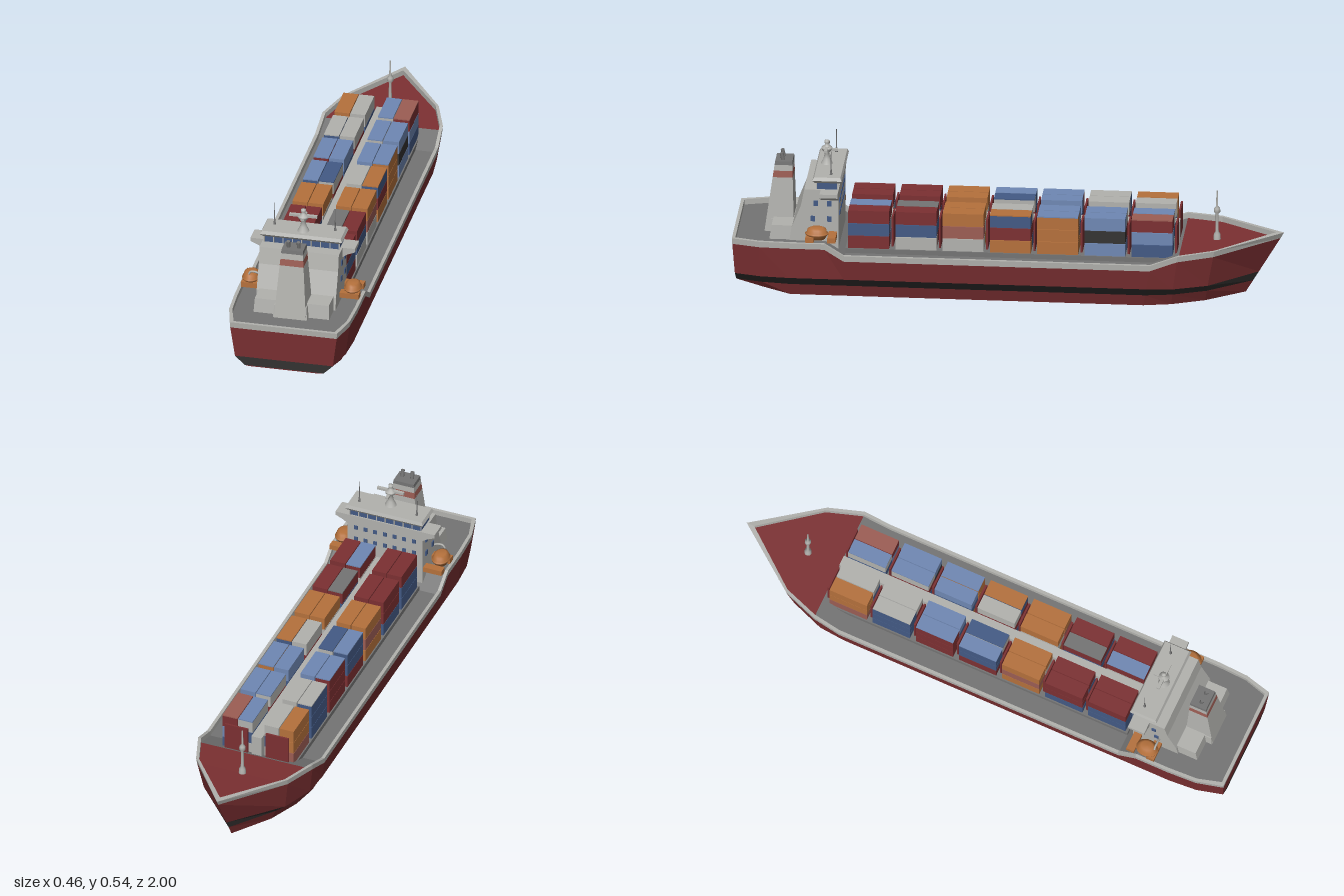
import * as THREE from 'three';

const mat = (name, color) => {
  const m = new THREE.MeshStandardMaterial({ color });
  m.name = name;
  return m;
};

export function createModel() {
  const ship = new THREE.Group();
  ship.name = 'containerShip';
  const M = {
    r: mat('hullRed', 0x7c3032), k: mat('stripeBlack', 0x353332), g: mat('paintGrey', 0xb2b2ae),
    d: mat('deckGrey', 0x747474), o: mat('orange', 0xb5713c), b: mat('blue', 0x435a85),
    l: mat('lightBlue', 0x6f88b4), s: mat('salmon', 0x9c5d54),
  };
  const add = (name, geo, m, x = 0, y = 0, z = 0, parent = ship) => {
    const mesh = new THREE.Mesh(geo, M[m]);
    mesh.name = name;
    mesh.position.set(x, y, z);
    parent.add(mesh);
    return mesh;
  };
  // Box given by its limits
  const box = (name, m, x0, x1, y0, y1, z0, z1, parent) =>
    add(name, new THREE.BoxGeometry(x1 - x0, y1 - y0, z1 - z0), m,
      (x0 + x1) / 2, (y0 + y1) / 2, (z0 + z1) / 2, parent);
  // Solid between two rectangles [halfWidth, z0, z1] at heights y0 and y1
  const frustum = (name, m, y0, a, y1, b) => {
    const geo = new THREE.BoxGeometry(2, 1, 1);
    const p = geo.attributes.position;
    for (let i = 0; i < p.count; i++) {
      const s = p.getY(i) > 0 ? b : a;
      p.setXYZ(i, p.getX(i) * s[0], p.getY(i) > 0 ? y1 : y0, p.getZ(i) > 0 ? s[2] : s[1]);
    }
    geo.computeVertexNormals();
    return add(name, geo, m);
  };
  const polygon = (pts) => new THREE.Shape(pts.map((p) => new THREE.Vector2(...p)));

  // Hull stations from bow to stern: zTop, zBottom, halfTop, halfBottom, yTop, yBottom
  const stations = [
    [-1, -0.86, 0, 0, 0.235, 0], [-0.76, -0.72, 0.18, 0.1, 0.222, 0],
    [-0.63, -0.6, 0.225, 0.15, 0.215, 0], [-0.53, -0.5, 0.23, 0.17, 0.178, 0],
    [0.59, 0.59, 0.23, 0.17, 0.178, 0], [0.66, 0.66, 0.23, 0.17, 0.222, 0],
    [0.79, 0.79, 0.23, 0.17, 0.222, 0], [0.9, 0.89, 0.225, 0.155, 0.222, 0.02],
    [1, 0.985, 0.2, 0.13, 0.222, 0.042],
  ];
  const last = stations.length - 1;
  // Outline of one station: keel, bilge, stripe, side, rail, inside of bulwark, deck centre
  const outline = stations.map(([zt, zb, wt, wb, yt, yb], i) => {
    const at = (y, f) => [wb + (wt - wb) * f, y, zb + (zt - zb) * y / yt];
    const zIn = zt + (i === 0 ? 0.03 : i === last ? -0.012 : 0);
    const wIn = Math.max(0, wt - 0.012);
    return [[0, yb, at(yb, 0)[2]], at(yb, 0), at(Math.max(0.045, yb + 0.003), 0.25), at(0.08, 0.75),
      at(yt - 0.022, 0.98), at(yt, 1), [wIn, yt, zIn], [wIn, yt - 0.02, zIn], [0, yt - 0.02, zIn]];
  });
  const bands = ['r', 'r', 'k', 'r', 'g', 'g', 'g', 'd'];
  const faces = {};
  const quad = (m, a, b, c, d) => (faces[m] ??= []).push(...a, ...b, ...c, ...a, ...c, ...d);
  const flip = ([x, y, z]) => [-x, y, z];
  for (let k = 0; k < bands.length; k++) {
    for (let i = 0; i < last; i++) {
      const a = outline[i][k], b = outline[i][k + 1], c = outline[i + 1][k + 1], d = outline[i + 1][k];
      const m = k === 7 && i < 2 ? 'r' : bands[k];
      quad(m, a, b, c, d);
      quad(m, flip(d), flip(c), flip(b), flip(a));
    }
    // Transom and stern bulwark
    if (k > 0 && k < 7) {
      const e = outline[last];
      quad(bands[k], flip(e[k]), e[k], e[k + 1], flip(e[k + 1]));
    }
  }
  const hullNames = { r: 'hullRedPlating', k: 'waterlineStripe', g: 'bulwark', d: 'mainDeck' };
  for (const m in faces) {
    const geo = new THREE.BufferGeometry();
    geo.setAttribute('position', new THREE.Float32BufferAttribute(faces[m], 3));
    geo.computeVertexNormals();
    add(hullNames[m], geo, m);
  }

  // Cargo: per bay from stern to bow, roofs over four columns, then tiers (top first)
  // for the right-hand (-x) outer, inner, and left-hand (+x) outer columns
  const cargo = new THREE.Group();
  cargo.name = 'cargo';
  ship.add(cargo);
  const bays = [
    ['rrlr', 'rbb', 'rgl', 'rbr'], ['rrdr', 'rrb', 'rbr', 'rbg'], ['oooo', 'oso', 'ogo', 'osg'],
    ['lbgo', 'bbr', 'grb', 'bro'], ['llll', 'rrr', 'lbo', 'ooo'], ['ggll', 'bbb', 'grb', 'lkl'],
    ['ogls', 'oos', 'gbg', 'rlb'],
  ];
  const columns = [[-0.14, -0.084], [-0.081, -0.025], [0.022, 0.078], [0.081, 0.14]];
  const tiers = [[0.273, 0.318], [0.225, 0.271], [0.176, 0.223]];
  bays.forEach(([roofs, right, inner, left], bay) => {
    const z1 = 0.58 - bay * 0.1725, z0 = z1 - 0.149;
    columns.forEach(([x0, x1], c) => {
      const stack = [right, inner, inner, left][c];
      tiers.forEach(([y0, y1], t) => box('container', stack[t], x0, x1, y0, y1, z0, z1, cargo));
      box('containerRoof', roofs[c], x0, x1, 0.318, 0.322, z0, z1, cargo);
    });
    // Lashing frame behind each bay
    for (const s of [-1, 1]) {
      box('lashingBar', 'r', s * 0.08 - 0.045, s * 0.08 + 0.045, 0.18, 0.295, z0 - 0.015, z0 - 0.008, cargo);
    }
  });
  box('hatchCoaming', 'd', -0.145, 0.145, 0.15, 0.176, -0.62, 0.59, cargo);
  box('centreWalkway', 'g', -0.02, 0.02, 0.176, 0.27, -0.62, 0.58, cargo);

  // Accommodation house, extruded across the ship from its side profile
  const house = new THREE.ExtrudeGeometry(polygon([[0.615, 0.16], [0.8, 0.16], [0.787, 0.25],
    [0.752, 0.34], [0.74, 0.402], [0.615, 0.402]]), { depth: 0.296, bevelEnabled: false });
  house.rotateY(-Math.PI / 2);
  add('house', house, 'g', 0.148);
  // Bridge with window band, mullions and roof
  box('bridgeWindows', 'b', -0.14, 0.14, 0.402, 0.428, 0.62, 0.695);
  for (let i = 0; i <= 8; i++) {
    const x = -0.14 + i * 0.035;
    for (const z of [0.619, 0.696]) box('mullion', 'g', x - 0.002, x + 0.002, 0.402, 0.43, z - 0.002, z + 0.002);
  }
  frustum('bridgeRoof', 'g', 0.428, [0.145, 0.61, 0.702], 0.438, [0.153, 0.603, 0.71]);
  frustum('bridgeRoofTop', 'g', 0.438, [0.153, 0.603, 0.71], 0.45, [0.147, 0.608, 0.704]);
  // Portholes facing the bow
  for (const y of [0.295, 0.345]) {
    for (let i = -3; i <= 3; i++) box('frontWindow', 'b', i * 0.038 - 0.007, i * 0.038 + 0.007, y, y + 0.016, 0.612, 0.616);
  }

  const wing = polygon([[0.147, 0.362], [0.165, 0.375], [0.195, 0.388], [0.195, 0.402], [0.147, 0.402]]);
  for (const s of [-1, 1]) {
    // Bridge wing
    const wingGeo = new THREE.ExtrudeGeometry(wing, { depth: 0.065, bevelEnabled: false });
    if (s < 0) wingGeo.rotateY(Math.PI);
    add('bridgeWing', wingGeo, 'g', 0, 0, s < 0 ? 0.68 : 0.615);
    // Side windows
    for (const [y, z] of [[0.34, 0.64], [0.34, 0.69], [0.28, 0.64], [0.28, 0.7]]) {
      box('sideWindow', 'b', s * 0.149 - 0.003, s * 0.149 + 0.003, y, y + 0.02, z, z + 0.016);
    }
    // Lifeboat on its cradle
    box('lifeboatCradle', 'o', s * 0.184 - 0.036, s * 0.184 + 0.036, 0.222, 0.242, 0.62, 0.65);
    box('lifeboatCradle', 'o', s * 0.184 - 0.036, s * 0.184 + 0.036, 0.222, 0.242, 0.7, 0.73);
    const hullProfile = [[0, 0.225], [0.022, 0.228], [0.03, 0.245], [0.033, 0.247], [0.033, 0.251],
      [0.029, 0.253], [0.026, 0.267], [0.018, 0.272], [0, 0.273]].map((p) => new THREE.Vector2(...p));
    add('lifeboat', new THREE.LatheGeometry(hullProfile, 14), 'o', s * 0.19, 0, 0.69).scale.z = 1.3;
    // Whip antenna
    add('antennaBase', new THREE.CylinderGeometry(0.002, 0.005, 0.022, 8), 'd', s * 0.113, 0.461, 0.645);
    add('antenna', new THREE.CylinderGeometry(0.001, 0.0025, 0.085, 6), 'd', s * 0.113, 0.497, 0.645);
    // Exhaust pipe
    add('exhaustPipe', new THREE.CylinderGeometry(0.007, 0.007, 0.04, 10), 'd', s * 0.019, 0.472, 0.83).rotation.x = 0.2;
  }
  // Davit beside one lifeboat
  const davit = new THREE.CatmullRomCurve3([[-0.145, 0.275], [-0.165, 0.284], [-0.185, 0.284], [-0.192, 0.274]]
    .map(([x, y]) => new THREE.Vector3(x, y, 0.72)));
  add('davit', new THREE.TubeGeometry(davit, 10, 0.004, 6), 'g');

  // Funnel with casing and painted band
  frustum('casing', 'g', 0.19, [0.142, 0.77, 0.87], 0.255, [0.138, 0.77, 0.86]);
  frustum('casingBack', 'g', 0.19, [0.065, 0.86, 0.892], 0.25, [0.06, 0.86, 0.886]);
  const funnelAt = (y) => {
    const t = (y - 0.2) / 0.265;
    return [0.06 - 0.02 * t, 0.785 + 0.008 * t, 0.893 - 0.037 * t];
  };
  [['funnel', 'g', 0.2, 0.405], ['funnelBand', 's', 0.405, 0.43], ['funnelTop', 'g', 0.43, 0.452],
    ['funnelCap', 'd', 0.452, 0.466]].forEach(([n, m, a, b]) => frustum(n, m, a, funnelAt(a), b, funnelAt(b)));

  // Radar mast on the bridge
  const mast = [[0.022, 0.45], [0.012, 0.47], [0.008, 0.49], [0.02, 0.505], [0.02, 0.512], [0.006, 0.522],
    [0.009, 0.53], [0.009, 0.538], [0, 0.541]].map((p) => new THREE.Vector2(...p));
  add('radarMast', new THREE.LatheGeometry(mast, 12), 'g', 0, 0, 0.67);
  box('radarBar', 'g', -0.052, 0.052, 0.508, 0.517, 0.664, 0.676);
  box('radarArm', 'g', -0.006, 0.006, 0.5, 0.507, 0.63, 0.69);

  // Foremast on the forecastle
  const foremast = [[0.014, 0.195], [0.012, 0.222], [0.006, 0.232], [0.005, 0.3], [0.012, 0.308],
    [0.011, 0.322], [0.004, 0.33], [0.0025, 0.39], [0, 0.392]].map((p) => new THREE.Vector2(...p));
  add('foremast', new THREE.LatheGeometry(foremast, 10), 'g', 0, 0, -0.755);

  return ship;
}
